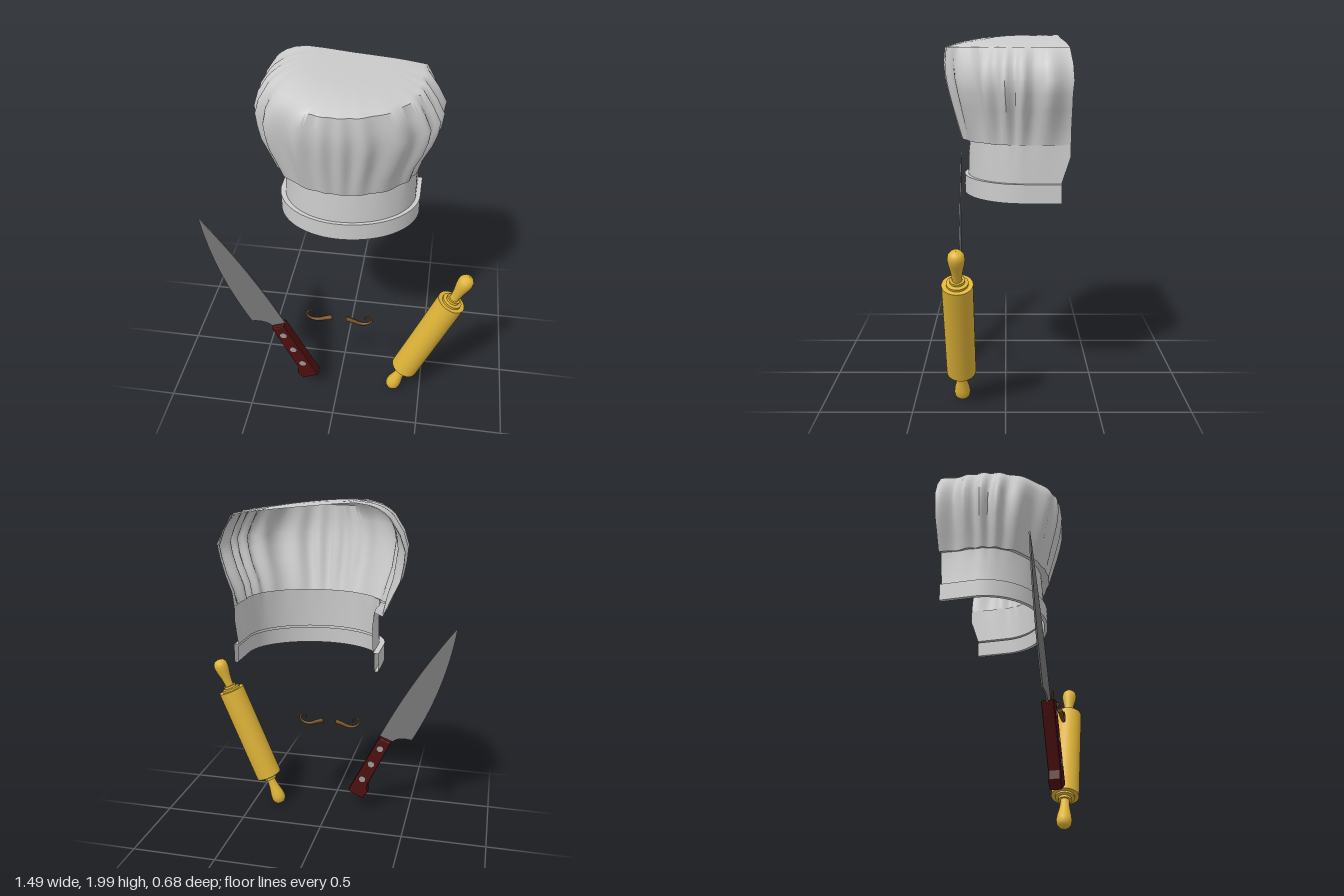
import * as THREE from 'three';
import { toCreasedNormals } from 'three/addons/utils/BufferGeometryUtils.js';

const mat = (color, side = THREE.FrontSide) => new THREE.MeshStandardMaterial({ color, side });

function part(name, geometry, material, parent) {
  const mesh = new THREE.Mesh(geometry, material);
  mesh.name = name;
  parent.add(mesh);
  return mesh;
}

// Surface through a grid of points: at(row, column) gives each vertex
function gridSurface(rows, cols, at) {
  const pos = [], index = [];
  for (let r = 0; r < rows; r++) {
    for (let c = 0; c < cols; c++) {
      pos.push(...at(r, c));
      if (r < rows - 1 && c < cols - 1) {
        const a = r * cols + c, d = a + cols;
        index.push(a, a + 1, d + 1, a, d + 1, d);
      }
    }
  }
  const g = new THREE.BufferGeometry();
  g.setAttribute('position', new THREE.Float32BufferAttribute(pos, 3));
  g.setIndex(index);
  g.computeVertexNormals();
  return g;
}

// U-shaped hat section, u from -1 (right back end) round the front to 1 (left back end)
function hatPoint([y, right, left, front, back, pleat], u) {
  const zc = -0.1, turn = 0.78, side = u < 0 ? right : left;
  const phi = THREE.MathUtils.clamp(u / turn, -1, 1) * Math.PI / 2;
  const straight = Math.max(0, (Math.abs(u) - turn) / (1 - turn));
  const end = u < 0 ? Math.max(back, -0.3) : back;
  const fold = pleat * Math.sin(u * 42 + 2 * Math.sin(u * 9)) * (0.35 + 0.65 * Math.abs(u));
  return [
    Math.sin(phi) * (side + fold), y,
    zc + Math.cos(phi) * (front - zc + fold) + straight * (end - zc),
  ];
}

function buildHat() {
  const hat = new THREE.Group();
  hat.name = 'chefHat';
  const cloth = mat(0xcccccc, THREE.DoubleSide);
  const cols = 113, u = c => (c / (cols - 1)) * 2 - 1;
  const loft = (name, rows, crease) => part(name, toCreasedNormals(
    gridSurface(rows.length, cols, (r, c) => hatPoint(rows[r], u(c))), crease), cloth, hat);

  // Each row: height, right half width, left half width, front z, back z, pleat depth
  loft('hatBand', [
    [1.23, 0.355, 0.385, 0.205, -0.29, 0],
    [1.14, 0.36, 0.39, 0.21, -0.29, 0],
    [1.14, 0.38, 0.41, 0.23, -0.29, 0],
    [1.24, 0.38, 0.41, 0.23, -0.29, 0],
    [1.24, 0.35, 0.385, 0.21, -0.29, 0],
  ], 0.6);
  loft('hatNeck', [
    [1.24, 0.35, 0.385, 0.21, -0.29, 0],
    [1.38, 0.345, 0.385, 0.205, -0.335, 0],
    [1.46, 0.35, 0.385, 0.2, -0.335, 0.003],
  ], 0.6);

  // Pleated puff, closed by a roof that shrinks toward the open back edge
  const puff = [
    [1.46, 0.35, 0.385, 0.2, -0.335, 0.003],
    [1.44, 0.39, 0.39, 0.245, -0.335, 0.008],
    [1.53, 0.42, 0.41, 0.268, -0.335, 0.018],
    [1.62, 0.455, 0.45, 0.29, -0.335, 0.026],
    [1.7, 0.468, 0.475, 0.31, -0.335, 0.028],
    [1.77, 0.475, 0.485, 0.325, -0.34, 0.026],
    [1.85, 0.455, 0.45, 0.335, -0.335, 0.018],
    [1.93, 0.41, 0.4, 0.33, -0.32, 0.008],
  ];
  const shrink = [0.94, 0.86, 0.75, 0.6, 0.4, 0.2, 0];
  const rim = puff[puff.length - 1];
  part('hatPuff', toCreasedNormals(gridSurface(puff.length + shrink.length, cols, (r, c) => {
    if (r < puff.length) return hatPoint(puff[r], u(c));
    const s = shrink[r - puff.length];
    const [x, , z] = hatPoint(rim, u(c));
    const roof = 2.005 - 0.1 * Math.max(0, x * s + 0.25);
    return [x * s, rim[0] + (roof - rim[0]) * (1 - s ** 6), -0.3 + (z + 0.3) * s];
  }), 1.0), cloth, hat);
  return hat;
}

function buildKnife() {
  const knife = new THREE.Group();
  knife.name = 'knife';
  const steel = mat(0x777777);

  // Blade outline with curved spine and cutting edge
  const blade = new THREE.Shape();
  blade.moveTo(-0.75, 1.25);
  blade.quadraticCurveTo(-0.7, 0.87, -0.51, 0.52);
  blade.quadraticCurveTo(-0.43, 0.54, -0.385, 0.495);
  blade.lineTo(-0.31, 0.53);
  blade.quadraticCurveTo(-0.5, 0.92, -0.75, 1.25);
  const bladeGeo = new THREE.ExtrudeGeometry(blade, { depth: 0.008, bevelEnabled: false, curveSegments: 12 });
  part('blade', bladeGeo, steel, knife).position.z = 0.293;

  // Handle with a heel at the butt
  const grip = new THREE.Shape([
    [-0.38, 0.5], [-0.235, 0.19], [-0.24, 0.145], [-0.21, 0.105],
    [-0.125, 0.145], [-0.315, 0.525],
  ].map(p => new THREE.Vector2(...p)));
  const gripGeo = new THREE.ExtrudeGeometry(grip, {
    depth: 0.046, bevelThickness: 0.01, bevelSize: 0.008, bevelOffset: -0.003, bevelSegments: 2,
  });
  part('handle', gripGeo, mat(0x4d0f0f), knife).position.z = 0.274;

  // Rivets run through both faces
  for (let i = 0; i < 3; i++) {
    const rivet = part('rivet', new THREE.CylinderGeometry(0.02, 0.02, 0.07, 16), mat(0x999999), knife);
    rivet.rotation.x = Math.PI / 2;
    rivet.position.set(-0.318 + i * 0.054, 0.455 - i * 0.11, 0.297);
  }
  return knife;
}

function buildRollingPin() {
  const pin = new THREE.Group();
  pin.name = 'rollingPin';
  const wood = mat(0xdfb438);
  part('barrel', new THREE.CylinderGeometry(0.08, 0.08, 0.612, 32), wood, pin);

  // Collar and knobbed handle, repeated at both ends
  const collar = [[0.056, 0.3], [0.056, 0.318], [0.038, 0.322], [0.038, 0.336], [0, 0.336]];
  const knob = [[0.026, 0.33], [0.026, 0.355], [0.031, 0.395], [0.041, 0.44],
    [0.044, 0.468], [0.041, 0.49], [0.028, 0.508], [0, 0.515]];
  const lathe = pts => new THREE.LatheGeometry(pts.map(p => new THREE.Vector2(...p)), 24);
  for (const turn of [0, Math.PI]) {
    const end = new THREE.Group();
    end.name = 'pinEnd';
    end.rotation.z = turn;
    part('collar', toCreasedNormals(lathe(collar), 0.6), wood, end);
    part('knob', lathe(knob), wood, end);
    pin.add(end);
  }
  pin.position.set(0.519, 0.495, 0.24);
  pin.rotation.z = -0.394;
  return pin;
}

function buildMoustache() {
  const moustache = new THREE.Group();
  moustache.name = 'moustache';
  const hair = mat(0x6e481c, THREE.DoubleSide);
  for (const s of [-1, 1]) {
    // Half with a curled tip, thinning toward the curl
    const curve = new THREE.CatmullRomCurve3([
      [0.038, 0.607], [0.08, 0.594], [0.125, 0.579], [0.165, 0.584], [0.188, 0.607],
      [0.183, 0.632], [0.162, 0.637], [0.148, 0.622], [0.153, 0.609],
    ].map(([x, y]) => new THREE.Vector3(s * x, y, 0)));
    const n = 40, sides = 8;
    const g = gridSurface(n + 1, sides + 1, (r, c) => {
      const t = r / n, p = curve.getPointAt(t), d = curve.getTangentAt(t);
      const radius = r === 0 || r === n ? 0 : 0.013 * (1 - t) ** 0.9 + 0.002;
      const a = -s * (c / sides) * Math.PI * 2;
      // End caps sit on the first and last rings
      return [p.x - d.y * Math.cos(a) * radius, p.y + d.x * Math.cos(a) * radius, Math.sin(a) * radius * s];
    });
    part(s < 0 ? 'rightMoustache' : 'leftMoustache', g, hair, moustache);
  }
  moustache.position.set(0.009, 0, 0.285);
  return moustache;
}

export function createModel() {
  const model = new THREE.Group();
  model.name = 'chefSet';
  model.add(buildHat(), buildKnife(), buildRollingPin(), buildMoustache());
  return model;
}
